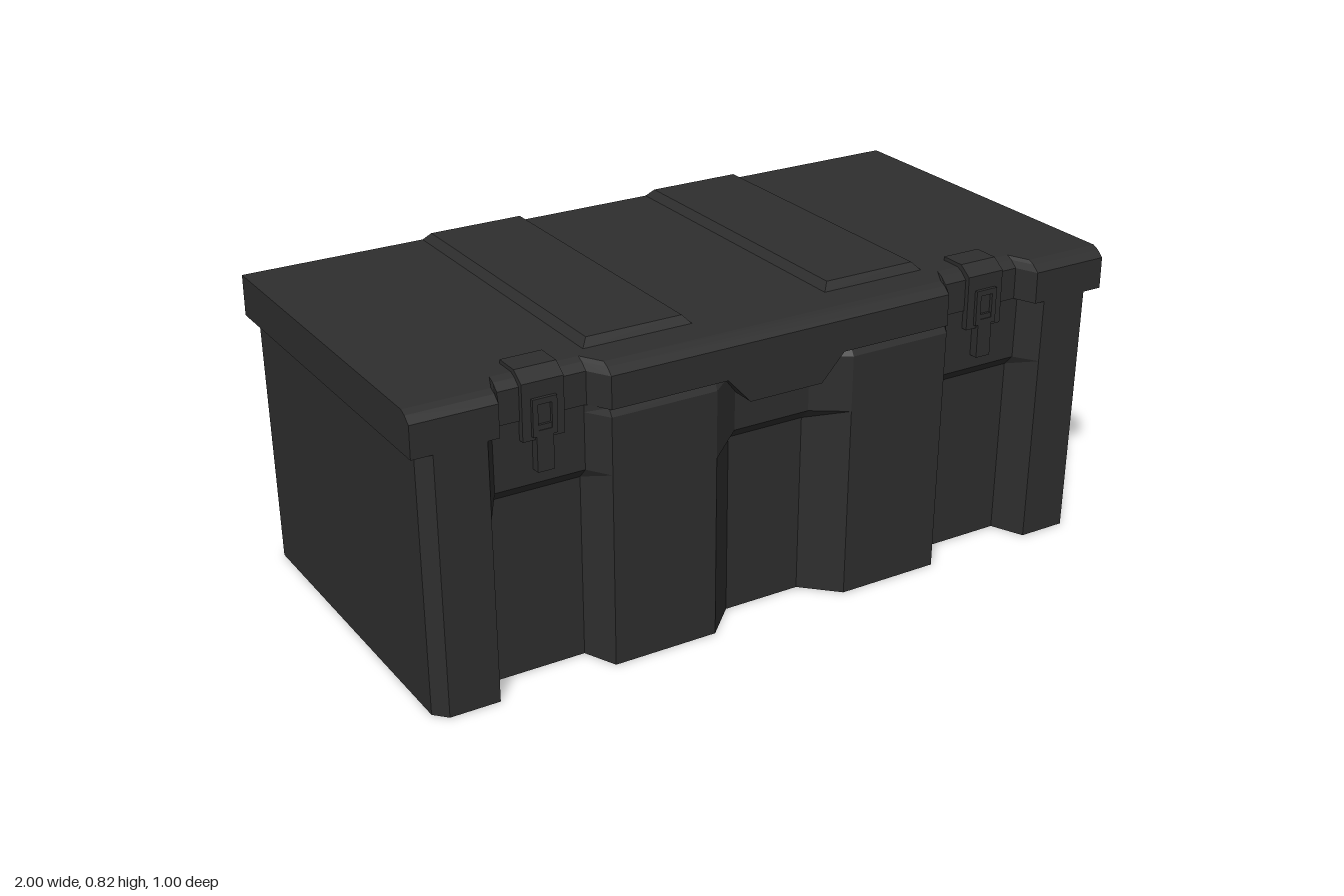
import * as THREE from 'three';

const shell = new THREE.MeshStandardMaterial({ color: 0x2e2e2e });
shell.name = 'charcoal plastic';

// Flat-shaded solid through matching rings, each counter-clockwise about the travel axis
function loft(rings, axis) {
  const pos = [];
  const tri = (a, b, c) => pos.push(...a, ...b, ...c);
  const n = rings[0].length;
  for (let r = 0; r < rings.length - 1; r++) {
    const a = rings[r], b = rings[r + 1];
    for (let i = 0; i < n; i++) {
      const j = (i + 1) % n;
      tri(a[i], a[j], b[j]);
      tri(a[i], b[j], b[i]);
    }
  }
  // end caps, wound to face outwards
  const u = (axis + 1) % 3, v = (axis + 2) % 3;
  const cap = (ring, dir) => {
    const flat = ring.map(p => new THREE.Vector2(p[u], p[v]));
    for (const [i, j, k] of THREE.ShapeUtils.triangulateShape(flat, [])) {
      const area = THREE.ShapeUtils.area([flat[i], flat[j], flat[k]]);
      if (area * dir > 0) tri(ring[i], ring[j], ring[k]);
      else tri(ring[i], ring[k], ring[j]);
    }
  };
  cap(rings[0], -1);
  cap(rings[rings.length - 1], 1);
  const g = new THREE.BufferGeometry();
  g.setAttribute('position', new THREE.Float32BufferAttribute(pos, 3));
  g.computeVertexNormals();
  return g;
}

function part(name, geometry, parent) {
  const m = new THREE.Mesh(geometry, shell);
  m.name = name;
  parent.add(m);
  return m;
}

function polygon(points) {
  return new THREE.Shape(points.map(([x, y]) => new THREE.Vector2(x, y)));
}

// Outline of the tub at height y: three recesses front and back, chamfered corners
function tubRing(y, floor, panel) {
  const t = 0.99 + 0.01 * (y / 0.69);
  const side = (zf, zp) => {
    const half = [[0.11, floor], [0.2, zp], [0.49, zp], [0.53, floor],
      [0.77, floor], [0.81, zf], [0.945, zf], [0.977, 0.465]];
    return [...half.map(([x, z]) => [-x, z]).reverse(), ...half];
  };
  const front = side(0.499, panel).map(([x, z]) => [x * t, y, z * t]);
  const back = side(0.495, 0.495).map(([x, z]) => [x * t, y, -z * t]).reverse();
  return [...front, ...back];
}

// Lid cross-section at x with its front edge at z
function lidRing(x, z) {
  return [[0.69, z], [0.69, -0.5], [0.8, -0.5], [0.8, z - 0.036], [0.792, z - 0.019], [0.775, z]]
    .map(([y, zz]) => [x, y, zz]);
}

function addLatch(x, parent) {
  const latch = new THREE.Group();
  latch.name = 'latch';
  latch.position.x = x;
  parent.add(latch);
  // strap hooked over the lid edge
  const profile = [[0.455, 0.64], [0.43, 0.64], [0.43, 0.77], [0.41, 0.795],
    [0.35, 0.795], [0.35, 0.81], [0.42, 0.81], [0.455, 0.785]];
  part('latchStrap', loft([-0.055, 0.055].map(s => profile.map(([z, y]) => [s, y, z])), 0), latch);
  // staple frame
  const frame = polygon([[-0.032, 0.65], [0.032, 0.65], [0.032, 0.745], [-0.032, 0.745]]);
  frame.holes.push(polygon([[-0.018, 0.665], [-0.018, 0.73], [0.018, 0.73], [0.018, 0.665]]));
  part('latchStaple', new THREE.ExtrudeGeometry(frame, { depth: 0.01, bevelEnabled: false }), latch)
    .position.z = 0.454;
  // pull tab
  part('latchPull', new THREE.BoxGeometry(0.044, 0.12, 0.025), latch).position.set(0, 0.618, 0.4495);
}

export function createModel() {
  const model = new THREE.Group();
  model.name = 'storageCrate';

  // tub: deep recesses below, shallower above a sloping ledge
  part('tub', loft([
    tubRing(0, 0.41, 0.499), tubRing(0.49, 0.41, 0.499), tubRing(0.52, 0.438, 0.499),
    tubRing(0.67, 0.438, 0.499), tubRing(0.69, 0.438, 0.487),
  ], 1), model);

  // lid with two latch notches in the front edge
  const half = [[0.49, 0.5], [0.525, 0.442], [0.755, 0.442], [0.78, 0.5], [1, 0.5]];
  const stations = [...half.map(([x, z]) => [-x, z]).reverse(), ...half];
  part('lid', loft(stations.map(([x, z]) => lidRing(x, z)), 0), model);

  // handle tab hanging from the lid
  const tab = polygon([[-0.17, 0.69], [-0.105, 0.62], [0.105, 0.62], [0.17, 0.69]]);
  part('lidTab', new THREE.ExtrudeGeometry(tab, { depth: 0.07, bevelEnabled: false }), model)
    .position.z = 0.43;

  for (const s of [-1, 1]) {
    // raised lid panel with sloping edges
    const rect = (y, inset) => [[-0.15, 0.375], [0.15, 0.375], [0.15, -0.5], [-0.15, -0.5]]
      .map(([x, z]) => [s * 0.345 + x - Math.sign(x) * inset, y, z - (z > 0 ? inset : -inset)]);
    part('lidPanel', loft([rect(0.8, 0), rect(0.82, 0.018)], 1), model);
    addLatch(s * 0.645, model);
  }
  return model;
}
